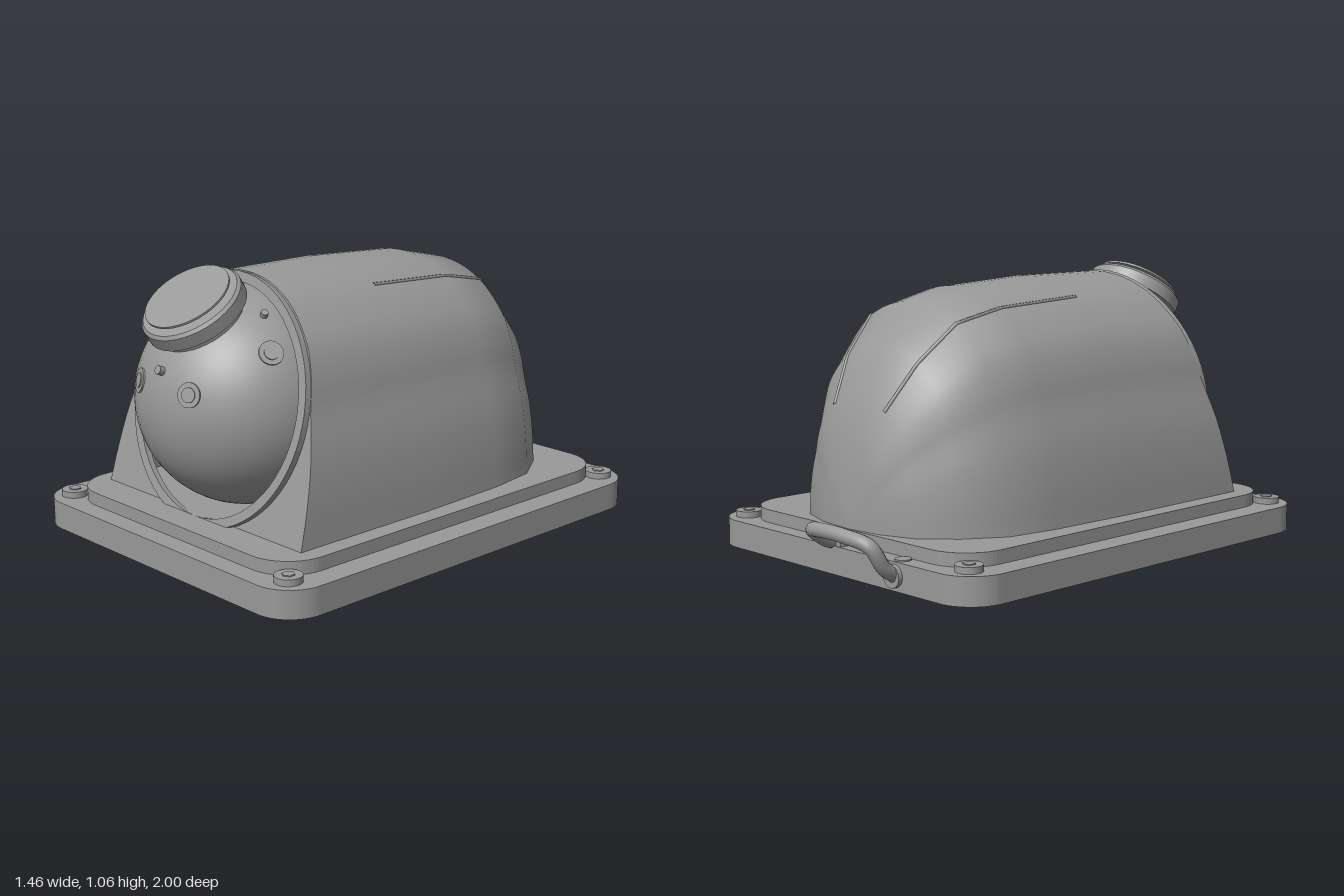
import * as THREE from 'three';

const grey = new THREE.MeshStandardMaterial({ color: 0x999999, side: THREE.DoubleSide });
grey.name = 'grey';

const BASE_Y = 0.155, TILT = 0.263;
const mouthZ = (y) => 0.78 - (y - BASE_Y) * TILT; // leaning plane of the mouth
const centre = new THREE.Vector3(0, 0.57, 0.555); // centre of the ball

function add(parent, name, geometry, x = 0, y = 0, z = 0) {
  const mesh = new THREE.Mesh(geometry, grey);
  mesh.name = name;
  mesh.position.set(x, y, z);
  parent.add(mesh);
  return mesh;
}

// Slab with rounded corners lying flat
function slab(halfW, z0, z1, r, height) {
  const s = new THREE.Shape();
  const a = -z1, b = -z0;
  s.moveTo(-halfW + r, a);
  s.lineTo(halfW - r, a).absarc(halfW - r, a + r, r, -Math.PI / 2, 0);
  s.lineTo(halfW, b - r).absarc(halfW - r, b - r, r, 0, Math.PI / 2);
  s.lineTo(-halfW + r, b).absarc(-halfW + r, b - r, r, Math.PI / 2, Math.PI);
  s.lineTo(-halfW, a + r).absarc(-halfW + r, a + r, r, Math.PI, Math.PI * 1.5);
  return new THREE.ExtrudeGeometry(s, { depth: height, bevelEnabled: false, curveSegments: 8 })
    .rotateX(-Math.PI / 2);
}

// Arch cross-section of the hood, from right foot over the top to left foot
const half = [[0.555, 0.155], [0.545, 0.3], [0.52, 0.46], [0.476, 0.61], [0.452, 0.71],
  [0.41, 0.81], [0.345, 0.89], [0.26, 0.96], [0.14, 1.012]];
const arch = new THREE.CatmullRomCurve3([
  ...half.map(([x, y]) => new THREE.Vector3(x, y, 0)),
  new THREE.Vector3(0, 1.03, 0),
  ...half.slice().reverse().map(([x, y]) => new THREE.Vector3(-x, y, 0)),
]).getPoints(54);

// Hood stations behind the mouth: z and scale of the arch
const stations = [[0.15, 1], [-0.24, 0.975], [-0.45, 0.92], [-0.6, 0.75],
  [-0.71, 0.54], [-0.76, 0.28], [-0.775, 0.001]];

function hoodGeometry() {
  const pos = [], index = [], n = arch.length;
  for (const p of arch) pos.push(p.x, p.y, mouthZ(p.y));
  for (const [z, s] of stations)
    for (const p of arch) pos.push(p.x * s, BASE_Y + (p.y - BASE_Y) * s, z);
  for (let r = 0; r < stations.length; r++)
    for (let i = 0; i < n - 1; i++) {
      const a = r * n + i, b = a + 1, c = a + n, d = c + 1;
      index.push(a, c, b, b, c, d);
    }
  const g = new THREE.BufferGeometry();
  g.setAttribute('position', new THREE.Float32BufferAttribute(pos, 3));
  g.setIndex(index);
  g.computeVertexNormals();
  // make the normals point outward whichever way the rows run
  if (g.attributes.normal.getY(Math.floor(n / 2)) < 0) {
    g.setIndex(index.reverse());
    g.computeVertexNormals();
  }
  return g;
}

// Leaning front wall with a round opening
function frontWall() {
  const s = new THREE.Shape([new THREE.Vector2(0.555, 0.12),
    ...arch.map((p) => new THREE.Vector2(p.x, p.y)), new THREE.Vector2(-0.555, 0.12)]);
  const hole = new THREE.Path();
  hole.absellipse(0, 0.57, 0.445, 0.43, 0, Math.PI * 2, true);
  s.holes.push(hole);
  const g = new THREE.ShapeGeometry(s, 32);
  const p = g.attributes.position;
  for (let i = 0; i < p.count; i++) p.setZ(i, mouthZ(p.getY(i)));
  g.computeVertexNormals();
  return g;
}

function annulus(outer, inner, depth) {
  const s = new THREE.Shape().absarc(0, 0, outer, 0, Math.PI * 2);
  s.holes.push(new THREE.Path().absarc(0, 0, inner, 0, Math.PI * 2, true));
  return new THREE.ExtrudeGeometry(s, { depth, bevelEnabled: false, curveSegments: 32 });
}

// Group whose +y axis points out of the ball in a given direction
function onBall(parent, name, x, y, z) {
  const g = new THREE.Group();
  g.name = name;
  g.position.copy(centre);
  g.quaternion.setFromUnitVectors(new THREE.Vector3(0, 1, 0), new THREE.Vector3(x, y, z).normalize());
  parent.add(g);
  return g;
}

const disc = (r, h, n = 32, r2 = r) => new THREE.CylinderGeometry(r, r2, h, n);

export function createModel() {
  const model = new THREE.Group();
  model.name = 'domeUnit';

  // Base plates
  add(model, 'basePlate', slab(0.73, -0.85, 1, 0.15, 0.105));
  add(model, 'raisedPlate', slab(0.63, -0.78, 0.92, 0.17, 0.05), 0, 0.105, 0);

  // Corner bolts
  for (const x of [-0.625, 0.625])
    for (const z of [-0.755, 0.9]) {
      add(model, 'boltHead', disc(0.051, 0.024, 24), x, 0.117, z);
      add(model, 'boltSocket', disc(0.024, 0.004, 6), x, 0.131, z);
    }

  // Hood, front wall and mouth ring
  add(model, 'hood', hoodGeometry());
  add(model, 'frontWall', frontWall());
  const ring = add(model, 'mouthRing', annulus(0.472, 0.436, 0.025), 0, 0.57, mouthZ(0.57));
  ring.rotation.x = -Math.atan(TILT);

  // Raised seams along the hood
  for (const side of [-1, 1]) {
    const path = new THREE.CurvePath();
    const pts = stations.slice(0, 5).map(([z, s]) =>
      new THREE.Vector3(side * 0.26 * s, BASE_Y + 0.805 * s, z));
    for (let i = 0; i < pts.length - 1; i++) path.add(new THREE.LineCurve3(pts[i], pts[i + 1]));
    add(model, 'hoodSeam', new THREE.TubeGeometry(path, 32, 0.007, 6));
  }

  // Ball
  add(model, 'ball', new THREE.SphereGeometry(0.407, 48, 32), centre.x, centre.y, centre.z);

  // Lens cap on the ball
  const lens = onBall(model, 'lensCap', 0, 0.84, 0.54);
  add(lens, 'lensNeck', disc(0.17, 0.06, 40), 0, 0.385, 0);
  add(lens, 'lensRim', disc(0.185, 0.012, 40, 0.195), 0, 0.452, 0);
  add(lens, 'lensBody', disc(0.195, 0.05, 40), 0, 0.421, 0);
  add(lens, 'lensFace', disc(0.165, 0.008, 40), 0, 0.478, 0);

  // Round sensors and small pins
  for (const side of [-1, 1]) {
    for (const [x, y, z] of [[0.14, 0.09, 0.369], [0.305, 0.23, 0.134]]) {
      const sensor = onBall(model, 'sensor', side * x, y, z);
      add(sensor, 'sensorRim', disc(0.045, 0.01), 0, 0.405, 0);
      add(sensor, 'sensorEye', disc(0.027, 0.01), 0, 0.409, 0);
    }
    add(onBall(model, 'sidePin', side * 0.215, 0.35, 0.085), 'pin', disc(0.014, 0.025, 12), 0, 0.412, 0);
  }
  add(onBall(model, 'frontPin', 0, 0.155, 0.385), 'pin', disc(0.016, 0.03, 12), 0, 0.413, 0);

  // Cable at the back with its sockets
  const cable = new THREE.CatmullRomCurve3([[0, 0.11, -0.8], [0, 0.13, -0.87], [-0.02, 0.18, -0.945],
    [-0.1, 0.194, -0.968], [-0.24, 0.194, -0.972], [-0.34, 0.17, -0.95], [-0.355, 0.09, -0.9],
    [-0.35, 0.05, -0.84]].map((p) => new THREE.Vector3(...p)));
  add(model, 'cable', new THREE.TubeGeometry(cable, 48, 0.027, 12));
  add(model, 'cableSocket', disc(0.05, 0.07, 24).rotateX(Math.PI / 2), 0, 0.105, -0.81);
  add(model, 'cableCollar', disc(0.042, 0.02, 24).rotateX(Math.PI / 2), -0.35, 0.055, -0.857);
  add(model, 'cableScrew', disc(0.03, 0.006, 24), -0.35, 0.107, -0.81);

  return model;
}
